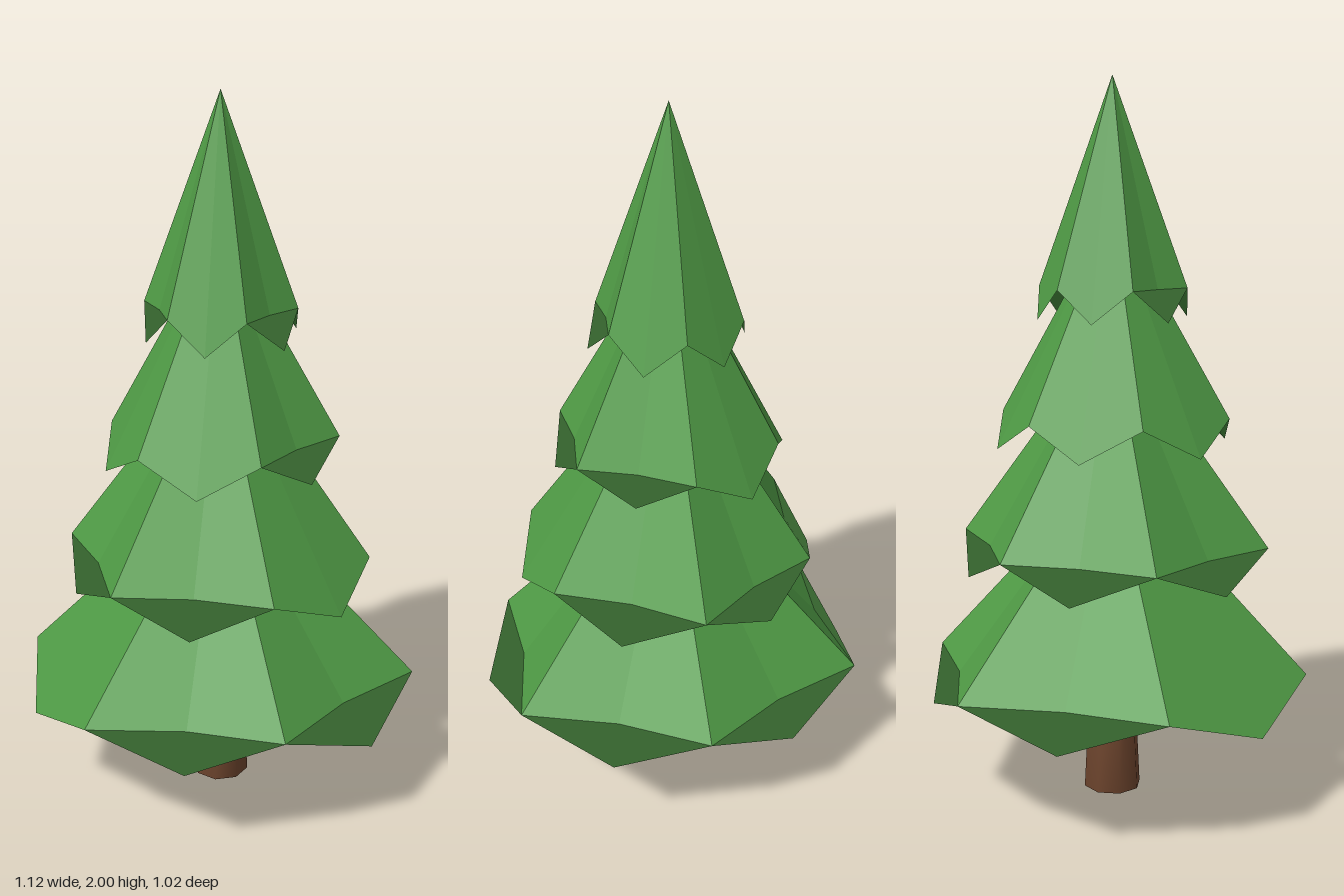
import * as THREE from 'three';
import { mergeVertices } from 'three/addons/utils/BufferGeometryUtils.js';

const green = new THREE.MeshStandardMaterial({ color: 0x4f9a45 });
green.name = 'needleGreen';
const darkGreen = new THREE.MeshStandardMaterial({ color: 0x34632d, side: THREE.DoubleSide });
darkGreen.name = 'shadeGreen';
const brown = new THREE.MeshStandardMaterial({ color: 0x71472f });
brown.name = 'barkBrown';

// Tiers from bottom to top. Side k lies between corner k and corner k + 1,
// counted from +x towards +z. A folded side ends in a separate dark flap.
const tiers = [
  { name: 'bottomBranches', apex: 0.95, rim: 0.38, tip: 0.29,
    corners: [0.56, 0.52, 0.555, 0.56, 0.565, 0.52],
    tips: [0.546, 0.51, 0.556, 0.533, 0.514, 0.516], folded: [0, 1, 3, 4, 5] },
  { name: 'lowerBranches', apex: 1.33, rim: 0.73, tip: 0.645,
    corners: [0.425, 0.425, 0.443, 0.44, 0.415, 0.44],
    tips: [0.43, 0.43, 0.425, 0.42, 0.41, 0.43], folded: [1, 2, 3, 4, 5] },
  { name: 'upperBranches', apex: 1.65, rim: 1.085, tip: 1.0,
    corners: [0.33, 0.32, 0.33, 0.31, 0.31, 0.32],
    tips: [0.32, 0.33, 0.33, 0.33, 0.325, 0.295], folded: [0, 5] },
  { name: 'topBranches', apex: 2, rim: 1.437, tip: 1.35,
    corners: [0.21, 0.205, 0.21, 0.21, 0.205, 0.21],
    tips: [0.22, 0.215, 0.21, 0.21, 0.21, 0.22], folded: [0, 2] },
];
const down = new THREE.Vector3(0, -1, 0);

function ringPoint(radius, degrees, y) {
  const a = THREE.MathUtils.degToRad(degrees);
  return new THREE.Vector3(radius * Math.cos(a), y, radius * Math.sin(a));
}

// Mesh from triangles [a, b, c, optional normal]
function faceMesh(name, faces, material) {
  const positions = [];
  const normals = [];
  for (const [a, b, c, normal] of faces) {
    const n = normal || new THREE.Triangle(a, b, c).getNormal(new THREE.Vector3());
    for (const p of [a, b, c]) {
      positions.push(p.x, p.y, p.z);
      normals.push(n.x, n.y, n.z);
    }
  }
  const geometry = new THREE.BufferGeometry();
  geometry.setAttribute('position', new THREE.Float32BufferAttribute(positions, 3));
  geometry.setAttribute('normal', new THREE.Float32BufferAttribute(normals, 3));
  const mesh = new THREE.Mesh(geometry, material);
  mesh.name = name;
  return mesh;
}

// One tier: six sloping sides, a flat underside and drooping tips
function makeTier(t) {
  const boughs = [];
  const flaps = [];
  const apex = new THREE.Vector3(0, t.apex, 0);
  const centre = new THREE.Vector3(0, t.rim, 0);

  for (let k = 0; k < 6; k++) {
    const a = ringPoint(t.corners[k], k * 60, t.rim);
    const b = ringPoint(t.corners[(k + 1) % 6], (k + 1) * 60, t.rim);
    const tip = ringPoint(t.tips[k], k * 60 + 30, t.tip);
    const mid = a.clone().add(b).multiplyScalar(0.5 * 0.94).setY(t.rim);
    const folded = t.folded.includes(k);

    // A folded side stops at the rim; otherwise it runs straight on into the tip
    const end = folded ? mid : tip;
    boughs.push([apex, end, a], [apex, b, end]);

    // Flat underside up to the rim
    boughs.push([centre, a, mid, down], [centre, mid, b, down]);

    // Lower face of the tip, which is the whole flap on a folded side
    (folded ? flaps : boughs).push([mid, a, tip, down], [mid, tip, b, down]);
  }

  const tier = new THREE.Group();
  tier.name = t.name;
  tier.add(faceMesh('boughs', boughs, green), faceMesh('flaps', flaps, darkGreen));
  return tier;
}

// Slightly tapered trunk, shaded smoothly around its ends
function makeTrunk() {
  let geometry = new THREE.CylinderGeometry(0.062, 0.082, 0.4, 8);
  geometry.deleteAttribute('uv');
  geometry.deleteAttribute('normal');
  geometry = mergeVertices(geometry);
  geometry.computeVertexNormals();
  const trunk = new THREE.Mesh(geometry, brown);
  trunk.name = 'trunk';
  trunk.position.y = 0.2;
  return trunk;
}

export function createModel() {
  const tree = new THREE.Group();
  tree.name = 'pineTree';
  tree.add(makeTrunk());
  for (const t of tiers) tree.add(makeTier(t));
  return tree;
}
